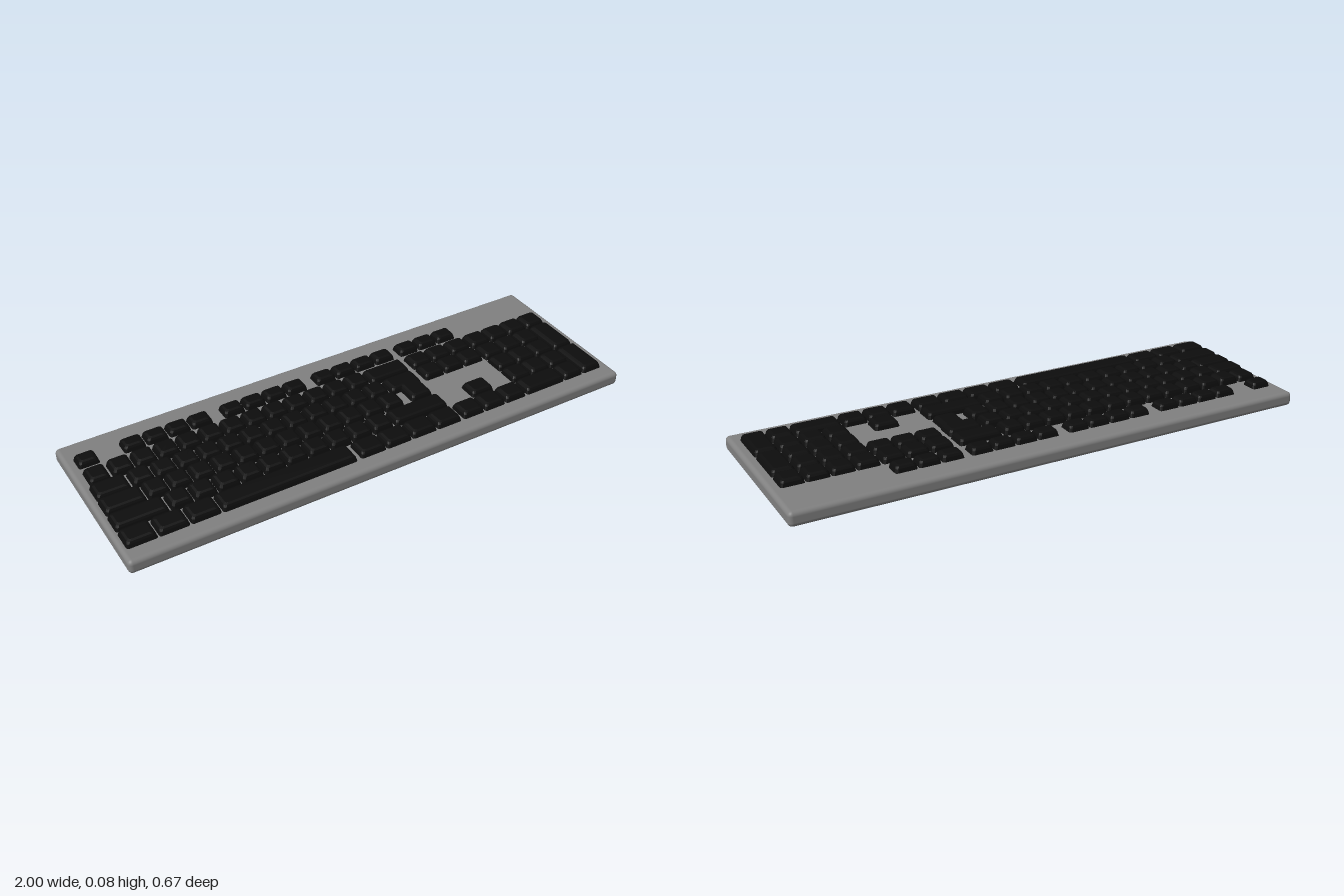
import * as THREE from 'three';
import { RoundedBoxGeometry } from 'three/addons/geometries/RoundedBoxGeometry.js';

const DECK = 0.054;
const caseMat = new THREE.MeshStandardMaterial({ color: 0x808080 });
const keyMat = new THREE.MeshStandardMaterial({ color: 0x0d0d0d, flatShading: true });

// Rounded rectangle outline, running from +x towards +z
function outline(w, d, r) {
  const pts = [];
  for (let c = 0; c < 4; c++) {
    const sx = c === 0 || c === 3 ? 1 : -1, sz = c < 2 ? 1 : -1;
    for (let i = 0; i <= 2; i++) {
      const a = (c + i / 2) * Math.PI / 2;
      pts.push([sx * (w / 2 - r) + r * Math.cos(a), sz * (d / 2 - r) + r * Math.sin(a)]);
    }
  }
  return pts;
}

// Keycap lofted from base, shoulder and top outlines
function keyGeometry(w, d, h) {
  const pos = [], idx = [], n = 12;
  const levels = [[0, 0], [h * 0.6, 0.004], [h * 0.88, 0.008], [h, 0.016]];
  for (const [y, inset] of levels) {
    for (const [x, z] of outline(w - 2 * inset, d - 2 * inset, 0.008)) pos.push(x, y, z);
  }
  for (let l = 0; l < levels.length - 1; l++) {
    for (let i = 0; i < n; i++) {
      const a = l * n + i, b = l * n + (i + 1) % n;
      idx.push(a, a + n, b, b, a + n, b + n);
    }
  }
  const top = (levels.length - 1) * n, centre = pos.length / 3;
  pos.push(0, h, 0);
  for (let i = 0; i < n; i++) idx.push(centre, top + (i + 1) % n, top + i);
  const g = new THREE.BufferGeometry();
  g.setAttribute('position', new THREE.Float32BufferAttribute(pos, 3));
  g.setIndex(idx);
  g.computeVertexNormals();
  return g;
}

export function createModel() {
  const model = new THREE.Group();
  model.name = 'keyboard';

  const body = new THREE.Mesh(new RoundedBoxGeometry(2, DECK, 0.666, 4, 0.016), caseMat);
  body.name = 'case';
  body.position.y = DECK / 2;
  model.add(body);

  const section = (name) => {
    const g = new THREE.Group();
    g.name = name;
    model.add(g);
    return g;
  };
  const key = (group, name, x0, x1, z0, z1, top = 0.078) => {
    const mesh = new THREE.Mesh(keyGeometry(x1 - x0, z1 - z0, top - DECK + 0.001), keyMat);
    mesh.name = name;
    mesh.position.set((x0 + x1) / 2, DECK - 0.001, (z0 + z1) / 2);
    group.add(mesh);
  };
  // Evenly spaced run of keys between x0 and x1
  const run = (group, name, count, x0, x1, z0, z1, top) => {
    const gap = 0.004, w = (x1 - x0 + gap) / count;
    for (let i = 0; i < count; i++) key(group, name, x0 + i * w, x0 + (i + 1) * w - gap, z0, z1, top);
  };

  // Upper row
  const upper = section('upperRow');
  const f0 = -0.243, f1 = -0.177;
  key(upper, 'escapeKey', -0.965, -0.887, f0, f1);
  for (const x of [-0.797, -0.408, -0.024]) run(upper, 'upperKey', 4, x, x + 0.342, f0, f1);
  run(upper, 'systemKey', 3, 0.346, 0.601, f0, f1);

  // Main block: depth range, left key, character run, right key
  const main = section('mainBlock');
  const rows = [
    { z: [-0.156, -0.073], left: [-0.965, -0.887], n: 12, mid: [-0.88, 0.144], right: [0.152, 0.32] },
    { z: [-0.07, 0.013], left: [-0.975, -0.848], n: 12, mid: [-0.842, 0.176], right: [0.186, 0.318] },
    { z: [0.012, 0.096], left: [-0.977, -0.828], n: 12, mid: [-0.824, 0.188] },
    { z: [0.1, 0.183], left: [-0.979, -0.786], n: 10, mid: [-0.781, 0.086], right: [0.094, 0.32] },
  ];
  for (const r of rows) {
    key(main, 'leftEdgeKey', ...r.left, ...r.z);
    run(main, 'characterKey', r.n, ...r.mid, ...r.z, 0.083);
    if (r.right) key(main, 'rightEdgeKey', ...r.right, ...r.z);
  }
  key(main, 'enterKeyLower', 0.224, 0.313, -0.02, 0.09);

  // Bottom row
  const b0 = 0.187, b1 = 0.272;
  run(main, 'leftModifierKey', 3, -0.979, -0.642, b0, b1);
  key(main, 'spaceBar', -0.638, -0.122, b0, b1 + 0.002);
  run(main, 'rightModifierKey', 4, -0.106, 0.317, b0, b1);

  // Navigation and arrow keys
  const nav = section('navigationKeys');
  for (const z of [-0.158, -0.076]) run(nav, 'navigationKey', 3, 0.342, 0.607, z, z + 0.08);
  key(nav, 'arrowKey', 0.43, 0.525, 0.103, 0.183);
  run(nav, 'arrowKey', 3, 0.328, 0.607, b0, b1);

  // Number pad on a 4 x 5 grid: column, row, columns wide, rows deep
  const pad = section('numberPad');
  const px = 0.0883, pz = 0.0864;
  const padKey = (c, r, w = 1, d = 1) => {
    const x = 0.614 + c * px, z = -0.158 + r * pz;
    key(pad, 'numberPadKey', x, x + w * px - 0.003, z, z + d * pz - 0.003);
  };
  for (let c = 0; c < 4; c++) padKey(c, 0);
  for (let r = 1; r < 4; r++) for (let c = 0; c < 3; c++) padKey(c, r);
  padKey(0, 4, 2);
  padKey(2, 4);
  padKey(3, 1, 1, 2);
  padKey(3, 3, 1, 2);

  return model;
}
